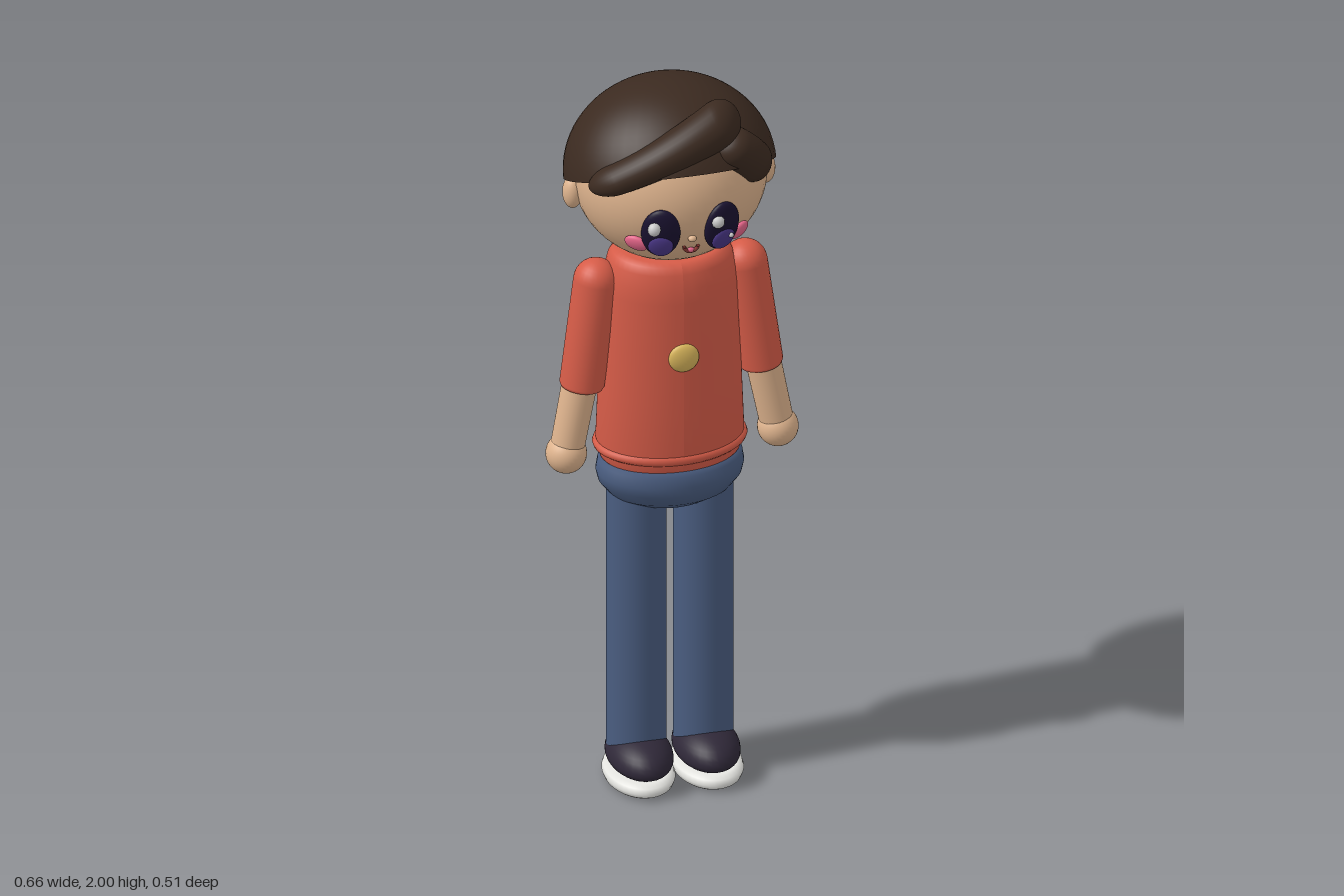
import * as THREE from 'three';

const mat = (color) => new THREE.MeshStandardMaterial({ color, side: THREE.DoubleSide });
const SKIN = mat(0xdfb48e), HAIR = mat(0x3b2a20), SHIRT = mat(0xd65c48), JEANS = mat(0x4a5d80);
const SHOE = mat(0x2f2838), SOLE = mat(0xe6e6e2), DARK = mat(0x1a1230), IRIS = mat(0x4a3787);
const WHITE = mat(0xffffff), BLUSH = mat(0xe5668a), GOLD = mat(0xd9b65c), LIP = mat(0x8c3b35);

export function createModel() {
  const model = new THREE.Group();

  const add = (name, geometry, material, pos = [0, 0, 0], rot = [0, 0, 0], parent = model) => {
    const mesh = new THREE.Mesh(geometry, material);
    mesh.name = name;
    mesh.position.set(...pos);
    mesh.rotation.set(...rot);
    parent.add(mesh);
    return mesh;
  };
  const ellipsoid = (rx, ry, rz, seg = 32) =>
    new THREE.SphereGeometry(1, seg, Math.round(seg * 0.6)).scale(rx, ry, rz);
  const lathe = (points, seg = 40) =>
    new THREE.LatheGeometry(points.map(([r, y]) => new THREE.Vector2(r, y)), seg);

  // Round limb running from a down to b, with a domed top and a softly rounded end
  const limb = (name, a, b, r0, r1, material) => {
    const A = new THREE.Vector3(...a), B = new THREE.Vector3(...b);
    const len = A.distanceTo(B), e = 0.012;
    const pts = [[0, -len], [r1 - e, -len], [r1 - e * 0.3, -len + e * 0.3], [r1, -len + e]];
    for (let i = 0; i <= 8; i++) {
      const t = (i / 8) * Math.PI / 2;
      pts.push([r0 * Math.cos(t), r0 * Math.sin(t)]);
    }
    const mesh = add(name, lathe(pts, 28), material, a);
    mesh.quaternion.setFromUnitVectors(new THREE.Vector3(0, 1, 0), A.sub(B).normalize());
  };

  // Lock of hair: a capsule along x, thinner toward -x and bent back around the head
  const lock = (name, r, length, taper, bend, pos, rot) => {
    const g = new THREE.CapsuleGeometry(r, length, 12, 28, 16).rotateZ(Math.PI / 2);
    const p = g.attributes.position, half = length / 2 + r;
    for (let i = 0; i < p.count; i++) {
      const x = p.getX(i), u = x / half;
      const s = 1 - taper * (1 - u) / 2;
      p.setXYZ(i, x, p.getY(i) * s + 0.012 * (1 - u * u), p.getZ(i) * (s * 0.6 + 0.4) - bend * x * x);
    }
    g.computeVertexNormals();
    add(name, g, HAIR, pos, rot);
  };

  // Head and hair
  add('head', ellipsoid(0.25, 0.236, 0.236, 48), SKIN, [0, 1.755, 0]);
  add('neck', new THREE.CylinderGeometry(0.08, 0.09, 0.1, 24), SKIN, [0, 1.53, 0]);
  const cap = new THREE.SphereGeometry(1, 48, 20, 0, Math.PI * 2, 0, Math.PI / 2)
    .rotateX(-0.42).scale(0.273, 0.244, 0.256);
  add('hairCap', cap, HAIR, [0, 1.756, 0]);
  lock('fringe', 0.066, 0.295, 0.5, 1.1, [-0.05, 1.882, 0.178], [0, 0, 0.42]);
  lock('sideLock', 0.052, 0.08, -0.1, 0.8, [0.145, 1.85, 0.16], [0, 0.25, -0.75]);

  // Face
  add('nose', ellipsoid(0.011, 0.009, 0.01, 16), SKIN, [0, 1.668, 0.223]);
  add('smile', new THREE.TorusGeometry(0.018, 0.005, 8, 16, Math.PI), LIP, [0, 1.64, 0.212], [0.3, 0, Math.PI]);
  add('lowerLip', ellipsoid(0.011, 0.007, 0.006, 12), BLUSH, [0, 1.627, 0.207]);
  for (const s of [1, -1]) {
    const side = s > 0 ? 'left' : 'right';
    add(side + 'Ear', ellipsoid(0.026, 0.045, 0.028), SKIN, [s * 0.253, 1.715, -0.01]);
    add(side + 'Eye', ellipsoid(0.05, 0.075, 0.022), DARK, [s * 0.08, 1.69, 0.212], [0.22, s * 0.3, 0]);
    add(side + 'Iris', ellipsoid(0.032, 0.036, 0.012), IRIS, [s * 0.082, 1.656, 0.219], [0.35, s * 0.3, 0]);
    add(side + 'EyeHighlight', ellipsoid(0.017, 0.018, 0.016, 16), WHITE, [s * 0.084 - 0.02, 1.716, 0.238]);
    add(side + 'EyeSpark', ellipsoid(0.007, 0.007, 0.006, 12), WHITE, [s * 0.083 + 0.018, 1.667, 0.229]);
    add(side + 'Cheek', ellipsoid(0.032, 0.023, 0.012), BLUSH, [s * 0.135, 1.65, 0.178], [0.4, s * 0.6, 0]);
  }

  // Shirt body: oval in section, widening toward the hem
  const body = lathe([[0.0, 0.93], [0.125, 0.93], [0.131, 0.94], [0.14, 0.99], [0.14, 1.15], [0.14, 1.3],
    [0.14, 1.43], [0.138, 1.47], [0.131, 1.51], [0.122, 1.529], [0.108, 1.537], [0, 1.54]], 48);
  const bp = body.attributes.position;
  for (let i = 0; i < bp.count; i++) {
    const t = (bp.getY(i) - 0.93) / 0.6;
    bp.setX(i, bp.getX(i) * (1.39 - 0.17 * t));
  }
  body.computeVertexNormals();
  add('shirtBody', body, SHIRT);
  const hem = new THREE.TorusGeometry(0.129, 0.016, 12, 48).rotateX(Math.PI / 2).scale(1.385, 1, 1);
  add('shirtHem', hem, SHIRT, [0, 0.975, 0]);
  add('chestButton', ellipsoid(0.04, 0.04, 0.016), GOLD, [0, 1.275, 0.139]);

  // Hips
  const hips = lathe([[0, 0.79], [0.06, 0.795], [0.115, 0.81], [0.16, 0.835], [0.186, 0.868],
    [0.192, 0.895], [0.187, 0.925], [0.17, 0.945], [0, 0.95]], 48).scale(1, 1, 0.735);
  add('hips', hips, JEANS);

  // Arms, legs and shoes
  for (const s of [1, -1]) {
    const side = s > 0 ? 'left' : 'right';
    limb(side + 'Sleeve', [s * 0.196, 1.459, 0.006], [s * 0.236, 1.158, 0.015], 0.058, 0.058, SHIRT);
    limb(side + 'Forearm', [s * 0.235, 1.2, 0.014], [s * 0.277, 0.98, 0.021], 0.046, 0.044, SKIN);
    add(side + 'Hand', ellipsoid(0.053, 0.053, 0.053), SKIN, [s * 0.278, 0.975, 0.022]);

    add(side + 'Leg', new THREE.CylinderGeometry(0.077, 0.077, 0.78, 32), JEANS, [s * 0.088, 0.46, 0]);

    // Shoe upper, lower at the heel and the toe than over the instep
    const upper = ellipsoid(0.084, 0.062, 0.133);
    const up = upper.attributes.position;
    for (let i = 0; i < up.count; i++) {
      const z = up.getZ(i), y = up.getY(i);
      if (y > 0) up.setY(i, y * (1 + z * 0.9));
      else up.setY(i, y * 0.7);
    }
    upper.computeVertexNormals();
    add(side + 'Shoe', upper, SHOE, [s * 0.088, 0.077, 0.028]);
    const sole = lathe([[0, 0.005], [0.078, 0.007], [0.087, 0.015], [0.091, 0.027], [0.087, 0.04],
      [0.075, 0.047], [0, 0.048]]).scale(1, 1, 1.47);
    add(side + 'Sole', sole, SOLE, [s * 0.09, 0, 0.028]);
  }

  return model;
}
